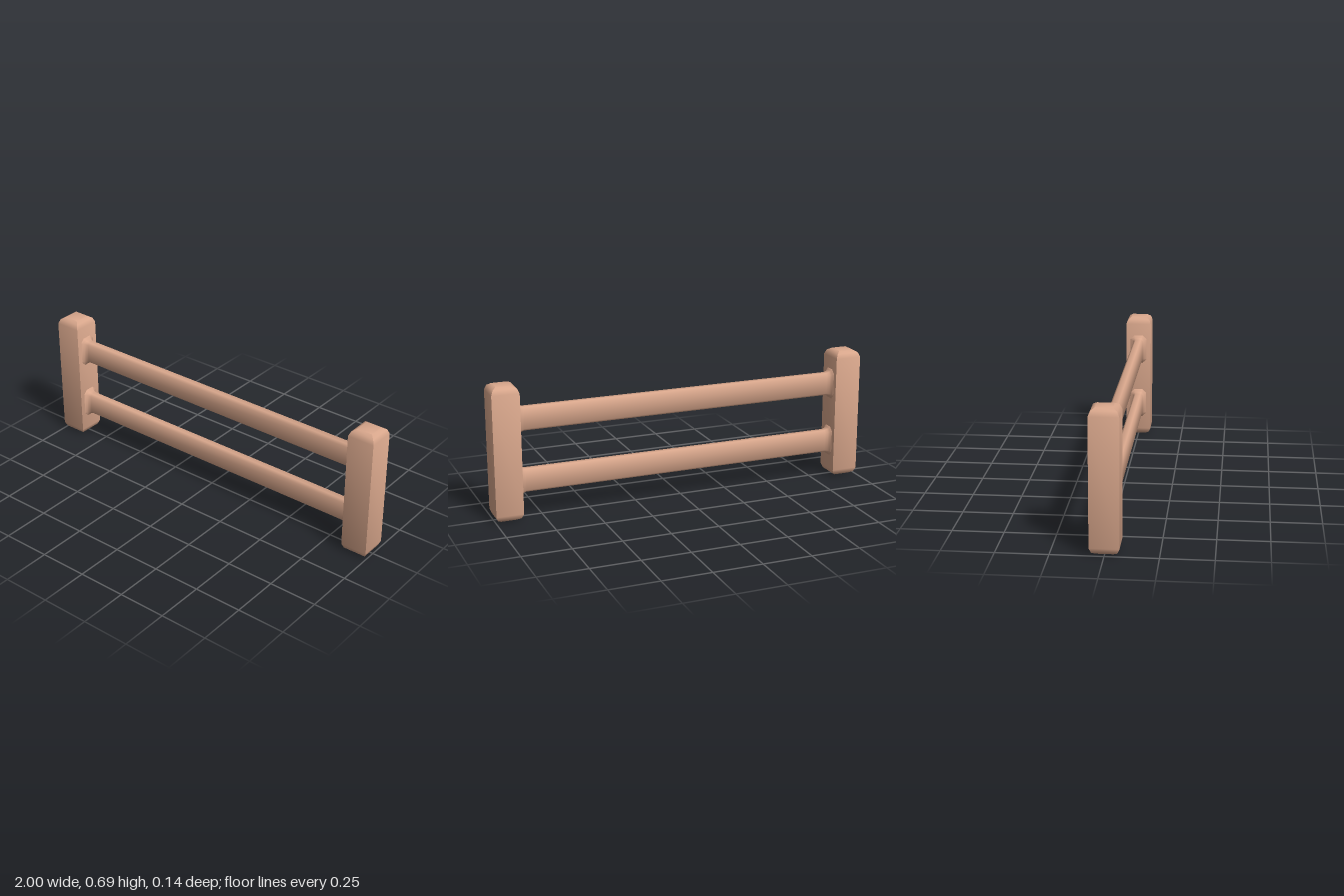
import * as THREE from 'three';
import { toCreasedNormals } from 'three/addons/utils/BufferGeometryUtils.js';

const material = new THREE.MeshStandardMaterial({ color: 0xd9a78c });
const HEIGHT = 0.69;

// Square post with softened top and bottom rims
function postGeometry() {
  const rim = [[0, 0], [0.04, 0], [0.06, 0.012], [0.07, 0.036]];
  const profile = [...rim, ...rim.map(([r, y]) => [r, HEIGHT - y]).reverse()]
    .map(([r, y]) => new THREE.Vector2(r * Math.SQRT2, y));
  const geometry = new THREE.LatheGeometry(profile, 4).rotateY(Math.PI / 4);
  return toCreasedNormals(geometry, 0.7);
}

// Chamfered rail section, grown outwards by an offset
function railSection(x, offset) {
  const h = 0.06 + offset, d = 0.025 + offset, c = 0.011 + offset * 0.5;
  return [[h, -d + c], [h, d - c], [h - c, d], [-h + c, d],
    [-h, d - c], [-h, -d + c], [-h + c, -d], [h - c, -d]].map(([y, z]) => [x, y, z]);
}

// Rail lofted along x, flaring where it meets the posts
function railGeometry() {
  const half = [[0.875, 0.026], [0.862, 0.024], [0.855, 0.011], [0.845, 0.004], [0.83, 0]];
  const stations = [...half.map(([x, o]) => [-x, o]), ...half.slice().reverse()];
  const points = stations.flatMap(([x, o]) => railSection(x, o));
  const index = [];
  for (let s = 0; s < stations.length - 1; s++) {
    for (let i = 0; i < 8; i++) {
      const a = s * 8 + i, b = s * 8 + (i + 1) % 8;
      index.push(a, b, a + 8, b, b + 8, a + 8);
    }
  }
  const geometry = new THREE.BufferGeometry();
  geometry.setAttribute('position', new THREE.Float32BufferAttribute(points.flat(), 3));
  geometry.setIndex(index);
  return toCreasedNormals(geometry, 1.0);
}

export function createModel() {
  const fence = new THREE.Group();
  fence.name = 'fence';

  const add = (name, geometry, x, y) => {
    const mesh = new THREE.Mesh(geometry, material);
    mesh.name = name;
    mesh.position.set(x, y, 0);
    fence.add(mesh);
  };

  const post = postGeometry();
  add('leftPost', post, 0.93, 0);
  add('rightPost', post, -0.93, 0);

  const rail = railGeometry();
  add('lowerRail', rail, 0, 0.19);
  add('upperRail', rail, 0, 0.508);

  return fence;
}
